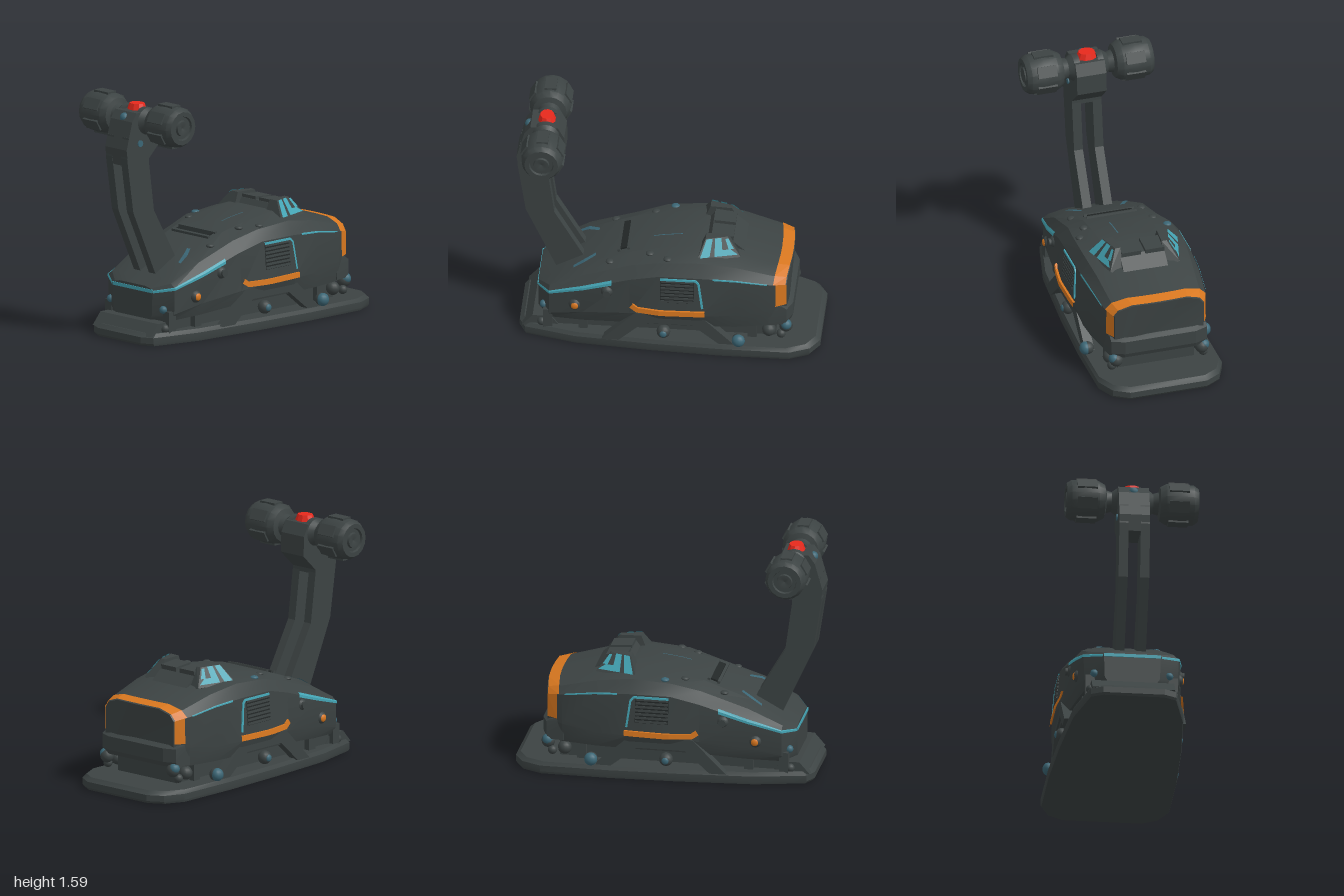
import * as THREE from 'three';
import { toCreasedNormals } from 'three/addons/utils/BufferGeometryUtils.js';

const mat = (name, color, side = THREE.FrontSide) => {
  const m = new THREE.MeshStandardMaterial({ color, side });
  m.name = name;
  return m;
};

// Hull stations: x, then [y, half width] at bottom, waist, shoulder, bevel and roof edge
const STATIONS = [
  [-0.85, [0.15, 0.16], [0.18, 0.18], [0.34, 0.185], [0.355, 0.165], [0.365, 0.12]],
  [-0.77, [0.145, 0.28], [0.19, 0.305], [0.365, 0.31], [0.392, 0.275], [0.41, 0.19]],
  [-0.55, [0.16, 0.32], [0.24, 0.345], [0.43, 0.345], [0.50, 0.30], [0.53, 0.2]],
  [-0.24, [0.19, 0.36], [0.28, 0.385], [0.53, 0.365], [0.60, 0.30], [0.64, 0.2]],
  [-0.05, [0.20, 0.38], [0.30, 0.41], [0.58, 0.385], [0.65, 0.33], [0.68, 0.2]],
  [0.22, [0.20, 0.38], [0.30, 0.41], [0.58, 0.385], [0.67, 0.34], [0.715, 0.2]],
  [0.45, [0.20, 0.365], [0.30, 0.385], [0.565, 0.37], [0.635, 0.32], [0.67, 0.2]],
  [0.70, [0.20, 0.325], [0.33, 0.35], [0.53, 0.345], [0.575, 0.3], [0.60, 0.2]],
  [0.80, [0.21, 0.28], [0.34, 0.30], [0.51, 0.30], [0.55, 0.27], [0.58, 0.18]],
];
const lerp = THREE.MathUtils.lerp;

// The tail is slightly bowed in plan: its sides trail behind its middle
const bow = (x, z) => x - 0.03 * THREE.MathUtils.clamp((x - 0.45) / 0.3, 0, 1) * (z / 0.32) ** 2;

// Half cross-section of the hull at any x
function sectionAt(x) {
  let i = 0;
  while (i < STATIONS.length - 2 && x > STATIONS[i + 1][0]) i++;
  const a = STATIONS[i], b = STATIONS[i + 1], t = (x - a[0]) / (b[0] - a[0]);
  return a.slice(1).map((p, k) => [lerp(p[0], b[k + 1][0], t), lerp(p[1], b[k + 1][1], t)]);
}

// Point just above the hull; v runs 0 bottom to 4 roof edge to 5 centre line
function skin(x, v, s, lift = 0.007) {
  const sec = sectionAt(x);
  sec.push([sec[4][0], 0]);
  const i = Math.min(4, Math.floor(v)), t = v - i;
  const y = lerp(sec[i][0], sec[i + 1][0], t), z = lerp(sec[i][1], sec[i + 1][1], t);
  const d = Math.hypot(y - 0.35, z) || 1;
  return [bow(x, z), y + (lift * (y - 0.35)) / d, s * (z + (lift * z) / d)];
}

function fromTriangles(tris) {
  const g = new THREE.BufferGeometry();
  g.setAttribute('position', new THREE.Float32BufferAttribute(tris.flat(2), 3));
  g.computeVertexNormals();
  return g;
}

// Closed solid through rings of equal length, turned outward by its signed volume
function loft(rings, crease = 0.45) {
  const tris = [], n = rings[0].length;
  for (let r = 0; r < rings.length - 1; r++) for (let i = 0; i < n; i++) {
    const j = (i + 1) % n, A = rings[r], B = rings[r + 1];
    tris.push([A[i], A[j], B[j]], [A[i], B[j], B[i]]);
  }
  const last = rings[rings.length - 1];
  for (let i = 1; i < n - 1; i++) {
    tris.push([rings[0][0], rings[0][i + 1], rings[0][i]], [last[0], last[i], last[i + 1]]);
  }
  const V = (p) => new THREE.Vector3(...p);
  const volume = tris.reduce((sum, [a, b, c]) => sum + V(a).dot(V(b).cross(V(c))), 0);
  if (volume < 0) tris.forEach((t) => t.reverse());
  return toCreasedNormals(fromTriangles(tris), crease);
}

// Open sheet from a grid of points
function sheet(rows) {
  const tris = [];
  for (let r = 0; r < rows.length - 1; r++) for (let i = 0; i < rows[r].length - 1; i++) {
    const a = rows[r][i], b = rows[r][i + 1], c = rows[r + 1][i + 1], d = rows[r + 1][i];
    tris.push([a, b, c], [a, c, d]);
  }
  return fromTriangles(tris);
}

// Painted band that follows the hull
function band(x0, x1, vs, s) {
  const xs = [x0, ...STATIONS.map((q) => q[0]).filter((x) => x > x0 && x < x1), x1];
  return sheet(xs.map((x) => vs.map((v) => skin(x, v, s))));
}

// Painted line on the flank, given as [x, y] points, with a lip back to the hull on its upper edge
function flankLine(pts, width, s, lift = 0.008) {
  const path = [];
  pts.forEach((p, i) => {
    if (i) for (let k = 1; k <= 4; k++) path.push([lerp(pts[i - 1][0], p[0], k / 4), lerp(pts[i - 1][1], p[1], k / 4)]);
    else path.push(p);
  });
  return sheet(path.map((p, i) => {
    const a = path[Math.max(0, i - 1)], b = path[Math.min(path.length - 1, i + 1)];
    const d = Math.hypot(b[0] - a[0], b[1] - a[1]);
    return [[-0.5, lift], [0.5, lift], [0.5, 0]].map(([k, out]) => {
      const x = p[0] - ((b[1] - a[1]) / d) * width * k, y = p[1] + ((b[0] - a[0]) / d) * width * k;
      const sec = sectionAt(x), t = (y - sec[1][0]) / (sec[2][0] - sec[1][0]);
      return [x, y, s * (lerp(sec[1][1], sec[2][1], t) + out)];
    });
  }));
}

// Extruded side outline; mirrored when s is -1
function plate(pts, z0, z1, s = 1) {
  const shape = new THREE.Shape(pts.map((p) => new THREE.Vector2(...p)));
  return new THREE.ExtrudeGeometry(shape, { depth: z1 - z0, bevelEnabled: false }).translate(0, 0, s > 0 ? z0 : -z1);
}

export function createModel() {
  const root = new THREE.Group();
  root.name = 'leverConsole';
  const shell = mat('charcoalShell', 0x3c4343);
  const dark = mat('darkRecess', 0x222727, THREE.DoubleSide);
  const orange = mat('orangePaint', 0xd8771f, THREE.DoubleSide);
  const cyan = mat('cyanPaint', 0x44a5b5, THREE.DoubleSide);
  const teal = mat('tealBolt', 0x3b6675, THREE.DoubleSide);
  const red = mat('redButton', 0xea2a1d);
  const add = (name, geo, m, x = 0, y = 0, z = 0) => {
    const mesh = new THREE.Mesh(geo, m);
    mesh.name = name;
    mesh.position.set(x, y, z);
    root.add(mesh);
    return mesh;
  };
  const box = (name, m, x, y, z, w, h, d) => add(name, new THREE.BoxGeometry(w, h, d), m, x, y, z);
  const ball = (name, m, x, y, z, r, flat = 1) => add(name, new THREE.SphereGeometry(r, 14, 10).scale(1, 1, flat), m, x, y, z);

  // Base plate with tapering outline and bevelled rim
  const half = [[-0.97, 0.2], [-0.93, 0.28], [-0.6, 0.36], [-0.1, 0.4], [0.35, 0.42], [0.8, 0.42], [0.93, 0.36], [0.99, 0.26]];
  const outline = [...half, ...half.map(([x, z]) => [x, -z]).reverse()];
  const ring = (y, k) => outline.map(([x, z]) => [x * k, y, z * k]);
  add('basePlate', loft([ring(0, 0.99), ring(0.015, 1), ring(0.055, 1), ring(0.08, 0.97)]), shell);
  add('noseStep', plate([[-0.95, 0.06], [-0.88, 0.14], [-0.76, 0.14], [-0.7, 0.06]], -0.27, 0.27), shell);
  box('core', shell, -0.05, 0.15, 0, 1.5, 0.17, 0.52);

  // Main hull
  add('hull', loft(STATIONS.map(([x, ...p]) => [
    ...p.map(([y, z]) => [bow(x, z), y, z]), [x, p[4][0], 0],
    ...p.map(([y, z]) => [bow(x, z), y, -z]).reverse(), [x, p[0][0], 0],
  ]), 0.35), shell);
  const bumper = [[0.21, 0], [0.24, 0.012], [0.33, 0.012], [0.35, -0.02]];
  add('tailBumper', loft(bumper.map(([y, dx]) => [
    [0.66, y, 0.34], [0.765 + dx, y, 0.325], [0.8 + dx, y, 0.24], [0.8 + dx, y, -0.24], [0.765 + dx, y, -0.325], [0.66, y, -0.34],
  ]), 0.3), shell);
  box('noseLine', cyan, -0.851, 0.338, 0, 0.008, 0.022, 0.37);

  for (const s of [1, -1]) {
    // Painted bands and lines
    add('tailBand', band(0.72, 0.795, [2, 3, 4, 4.5, 5], s), orange);
    add('tailSideBand', band(0.735, 0.8, [1.12, 2], s), orange);
    add('noseSideLine', band(-0.85, -0.36, [1.92, 2, 2.2], s), cyan);
    add('shoulderLine', band(0.3, 0.68, [1.97, 2, 2.05], s), cyan);
    add('flankStripe', flankLine([[-0.23, 0.345], [-0.19, 0.318], [0.0, 0.315], [0.25, 0.32]], 0.034, s, 0.015), orange);
    add('grilleTrim', flankLine([[-0.04, 0.563], [0.19, 0.563], [0.21, 0.54], [0.235, 0.36]], 0.014, s), cyan);

    // Side grille with slats
    add('grille', flankLine([[-0.04, 0.475], [0.18, 0.475]], 0.165, s, 0.004), dark);
    for (let i = 0; i < 7; i++) {
      const y = 0.402 + i * 0.0245;
      box('grilleSlat', shell, 0.07, y, s * (0.408 - (y - 0.3) * 0.089), 0.215, 0.015, 0.018).rotation.x = -s * 0.09;
    }

    // Angled side brace and foot posts
    add('sideBrace', plate([[-0.42, 0.07], [-0.2, 0.29], [0.22, 0.29], [0.44, 0.08], [0.34, 0.08],
      [0.17, 0.215], [-0.15, 0.215], [-0.31, 0.07]], 0.335, 0.397, s), shell);
    for (const x of [-0.78, -0.55, 0.55]) box('footPost', shell, x, 0.14, s * 0.27, 0.06, 0.14, 0.06);

    // Round bolts and their coloured caps
    for (const [x, y, z, r] of [[0.47, 0.12, 0.39, 0.042], [-0.02, 0.14, 0.37, 0.045], [0.77, 0.185, 0.29, 0.045], [0.66, 0.15, 0.3, 0.045],
      [0.74, 0.13, 0.31, 0.03], [-0.82, 0.1, 0.27, 0.03], [-0.6, 0.29, 0.32, 0.043], [-0.39, 0.42, 0.34, 0.042]]) {
      ball('bolt', shell, x, y, s * z, r);
    }
    ball('sideBoltCap', teal, 0.47, 0.12, s * 0.405, 0.043, 0.9);
    ball('braceBoltCap', teal, -0.02, 0.14, s * 0.405, 0.024, 0.6);
    ball('tailBoltCap', teal, 0.772, 0.198, s * 0.304, 0.036);
    ball('noseBolt', teal, -0.81, 0.22, s * 0.245, 0.026);
    ball('amberBoltCap', orange, -0.6, 0.29, s * 0.35, 0.026, 0.55);
    add('boltCap', new THREE.CylinderGeometry(0.025, 0.025, 0.02, 12).rotateX(Math.PI / 2), shell, -0.39, 0.42, s * 0.378);

    // Roof fins converging towards the tail, with slanted cyan bars, the last one bent along the foot
    const lo = (u) => [lerp(0.19, 0.47, u), 0.665, s * lerp(0.31, 0.235, u)];
    const hi = (u) => [lerp(0.24, 0.38, u), 0.78, s * lerp(0.215, 0.175, u)];
    add('roofFin', loft([
      [lo(0), lo(1), [0.47, 0.62, s * 0.13], [0.19, 0.66, s * 0.14]],
      [hi(0), hi(1), [0.38, 0.78, s * 0.14], [0.24, 0.78, s * 0.15]],
    ], 0.2), shell);
    const face = (u, t) => lo(u).map((c, k) => lerp(c, hi(u)[k], t) + [0.002, 0.005, s * 0.006][k]);
    for (const corners of [
      [[0.05, 0.12], [0.28, 0.12], [0.05, 0.97], [0.32, 0.97]],
      [[0.4, 0.12], [0.6, 0.12], [0.42, 0.97], [0.7, 0.97]],
      [[0.6, 0.12], [0.97, 0.12], [0.6, 0.4], [0.85, 0.4]],
      [[0.8, 0.4], [0.95, 0.4], [0.84, 0.9], [0.97, 0.9]],
    ]) {
      const [a, b, c, d] = corners.map(([u, t]) => face(u, t));
      add('finBar', sheet([[a, b], [c, d]]), cyan);
    }

    // Roof studs
    for (const [x, z, m] of [[0, 0.28, s < 0 ? teal : shell], [-0.12, 0.23, shell], [-0.38, 0.24, shell]]) {
      const p = skin(x, 3 + (0.31 - z) / 0.11, s, 0);
      add('roofStud', new THREE.SphereGeometry(0.028, 12, 8).scale(1, 0.5, 1), m, ...p);
    }

    // Lever arm cheek and root markings
    add('leverCheek', plate([[-0.73, 0.4], [-0.94, 0.86], [-0.995, 1.22], [-0.98, 1.36], [-0.8, 1.36], [-0.8, 1.18],
      [-0.755, 0.85], [-0.53, 0.46], [-0.53, 0.4]], 0.04, 0.1, s), shell);
    add('leverRootMark', sheet([[-0.62, 3.92, 4.08], [-0.55, 4.02, 4.2], [-0.48, 4.25, 4.4]]
      .map(([x, v0, v1]) => [skin(x, v0, s), skin(x, v1, s)])), teal);
    add('pivotBolt', new THREE.CylinderGeometry(0.022, 0.022, 0.02, 12).rotateX(Math.PI / 2), teal, -0.88, 1.31, s * 0.098);

    // Grip knob with flared neck and recessed end
    const profile = [[0, 0.06], [0.09, 0.06], [0.09, 0.1], [0.065, 0.135], [0.075, 0.17], [0.11, 0.18], [0.132, 0.22], [0.138, 0.31],
      [0.13, 0.4], [0.11, 0.43], [0.08, 0.43], [0.075, 0.415], [0.052, 0.415], [0.048, 0.43], [0.025, 0.43], [0, 0.42]];
    const knob = toCreasedNormals(new THREE.LatheGeometry(profile.map((p) => new THREE.Vector2(...p)), 16), 0.5);
    add('gripKnob', knob.rotateX((s * Math.PI) / 2), shell, -0.81, 1.45, 0);
    for (let i = 0; i < 6; i++) {
      const rib = new THREE.BoxGeometry(0.075, 0.02, 0.13).translate(0, 0.131, s * 0.3).rotateZ((i * Math.PI) / 3);
      add('gripRib', rib, shell, -0.81, 1.45, 0);
    }
  }

  // Lever head and button
  add('leverHead', plate([[-0.985, 1.17], [-1.0, 1.28], [-0.95, 1.46], [-0.91, 1.515], [-0.73, 1.515], [-0.69, 1.44],
    [-0.685, 1.31], [-0.8, 1.2], [-0.8, 1.17]], -0.1, 0.1), shell);
  add('headStud', new THREE.SphereGeometry(0.032, 12, 8), teal, -0.922, 1.475, 0);
  const button = toCreasedNormals(new THREE.CylinderGeometry(0.05, 0.066, 0.045, 10), 0.3);
  add('button', button.scale(0.9, 1, 1.08), red, -0.81, 1.533, 0);

  // Roof details
  box('roofSlot', dark, -0.295, 0.622, 0, 0.045, 0.02, 0.3).rotation.z = 0.3;
  for (const dx of [-0.032, 0.032]) box('slotRail', shell, -0.295 + dx, 0.622 + dx * 0.3, 0, 0.018, 0.028, 0.34).rotation.z = 0.3;
  add('roofSeam', band(-0.11, 0.08, [4.68, 4.715], 1), teal);
  add('roofDeck', plate([[0.23, 0.69], [0.27, 0.745], [0.4, 0.735], [0.5, 0.65]], -0.15, 0.15), shell);
  for (const z of [-0.085, 0.075]) box('roofPad', shell, 0.345, 0.745, z, 0.14, 0.03, 0.13).rotation.z = -0.07;
  return root;
}
